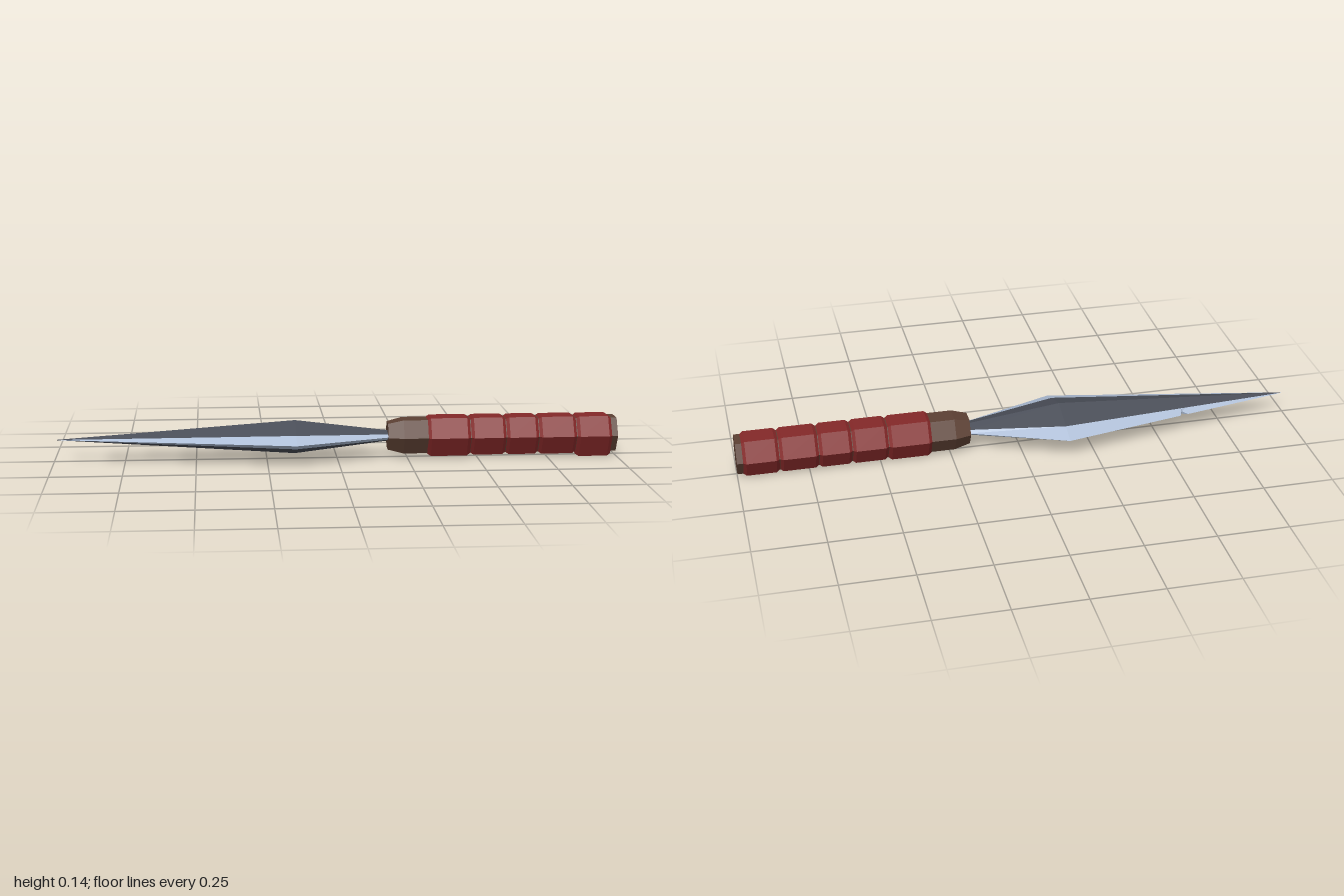
import * as THREE from 'three';

const AXIS_Y = 0.08; // height of the long axis

const paint = (color) => new THREE.MeshStandardMaterial({ color, flatShading: true });
const steel = paint(0x4a4e58);
const edgeSteel = paint(0xb0c0d8);
const wood = paint(0x5c4033);
const cloth = paint(0x842828);

// Skins rows of [x, y, z] points; points run +z, +y, -z, -y and rows run along +x
function skin(name, rows, material, closed = false) {
  const pos = [];
  const tri = (a, b, c) => pos.push(...a, ...b, ...c);
  const n = rows[0].length;
  for (let j = 0; j < rows.length - 1; j++) {
    for (let i = 0; i < (closed ? n : n - 1); i++) {
      const k = (i + 1) % n;
      const a = rows[j][i], b = rows[j + 1][i], c = rows[j + 1][k], d = rows[j][k];
      tri(a, b, c);
      if (j > 0 || a !== d) tri(a, c, d);
    }
  }
  if (closed) {
    const first = rows[0], last = rows[rows.length - 1];
    for (let i = 1; i < n - 1; i++) {
      tri(first[0], first[i], first[i + 1]);
      tri(last[0], last[i + 1], last[i]);
    }
  }
  const geo = new THREE.BufferGeometry();
  geo.setAttribute('position', new THREE.Float32BufferAttribute(pos, 3));
  geo.computeVertexNormals();
  const mesh = new THREE.Mesh(geo, material);
  mesh.name = name;
  mesh.position.y = AXIS_Y;
  return mesh;
}

// Six-sided ring with flat top; sag shifts single corners in y
function hexRing(x, r, sag = []) {
  return Array.from({ length: 6 }, (_, i) => {
    const a = (i * Math.PI) / 3;
    return [x, r * Math.sin(a) + (sag[i] || 0), r * Math.cos(a)];
  });
}

function createBlade() {
  const blade = new THREE.Group();
  blade.name = 'blade';

  // Stations: x, edge half width, bevel half width, bevel height, ridge height
  const wide = [-0.15, 0.17, 0.107, 0.024, 0.06];
  const taper = (x) => {
    const t = (x + 1) / 0.85;
    return [x, ...wide.slice(1).map((v) => v * t)];
  };
  const stations = [...[-1, -0.61, -0.595, -0.58].map(taper), wide, [0.19, 0.038, 0.029, 0.009, 0.018]];

  // Ridged flats above and below
  for (const s of [1, -1]) {
    const rows = stations.map(([x, , w, h, ridge]) => [[x, s * h, s * w], [x, s * ridge, 0], [x, s * h, -s * w]]);
    blade.add(skin(s > 0 ? 'upperFlat' : 'lowerFlat', rows, steel));
  }

  // Ground edges; the back one has a nick
  for (const s of [1, -1]) {
    const rows = stations.map(([x, e, w, h], j) => {
      const edge = s < 0 && j === 2 ? w + 0.004 : e;
      return [[x, -s * h, s * w], [x, 0, s * edge], [x, s * h, s * w]];
    });
    blade.add(skin(s > 0 ? 'frontEdge' : 'backEdge', rows, edgeSteel));
  }
  return blade;
}

function createHandle() {
  const handle = new THREE.Group();
  handle.name = 'handle';

  // Wooden core with a tapered collar
  const core = [[0.18, 0.054], [0.235, 0.069], [1, 0.069]];
  handle.add(skin('gripCore', core.map(([x, r]) => hexRing(x, r)), wood, true));

  // Cloth wraps with chamfered ends: start, end, corner sag
  const wraps = [
    [0.32, 0.473, [0, 0, 0, 0, -0.003, -0.003]],
    [0.473, 0.6],
    [0.6, 0.717],
    [0.717, 0.853],
    [0.853, 0.98, [0, 0, 0, 0, -0.001, -0.011]],
  ];
  for (const [x0, x1, sag] of wraps) {
    const rows = [
      hexRing(x0, 0.068, sag),
      hexRing(x0 + 0.012, 0.077, sag),
      hexRing(x1 - 0.012, 0.077, sag),
      hexRing(x1, 0.068, sag),
    ];
    handle.add(skin('gripWrap', rows, cloth, true));
  }
  return handle;
}

export function createModel() {
  const model = new THREE.Group();
  model.name = 'dagger';
  model.add(createBlade(), createHandle());
  return model;
}
